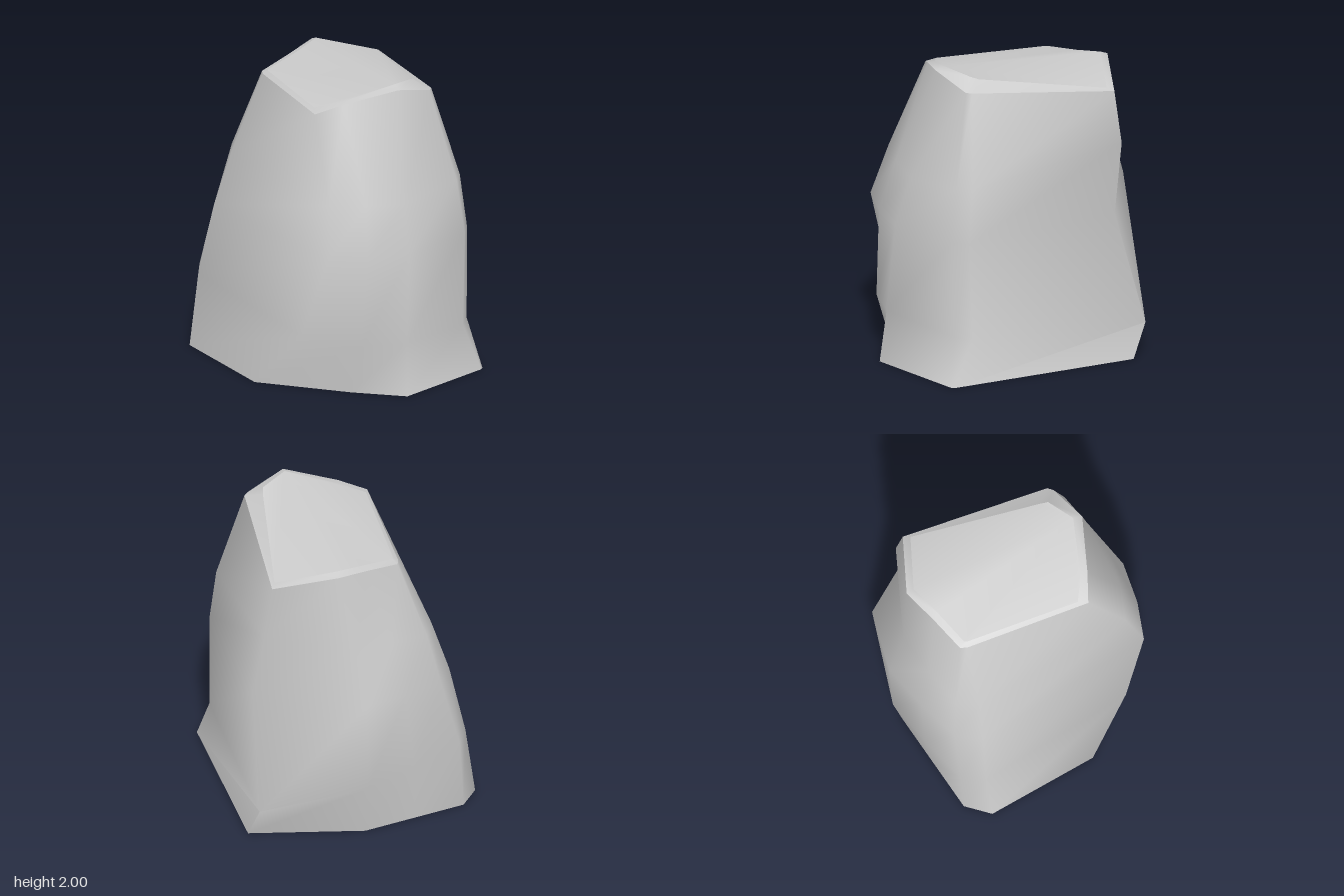
import * as THREE from 'three';
import { toCreasedNormals } from 'three/addons/utils/BufferGeometryUtils.js';

// Vertical edges of the body, each from base to top, ordered round the block.
const columns = [
  [[0, 0, .88], [.02, .35, .84], [.06, .94, .8], [.08, 1.25, .7], [.13, 1.98, .54]],                 // front
  [[.64, 0, .72], [.55, .3, .64], [.55, .95, .66], [.52, 1.3, .61], [.4, 1.9, .47]],                 // front, +x
  [[.66, 0, .7], [.63, .3, .55], [.62, .95, .57], [.59, 1.3, .53], [.43, 1.9, .44]],                 // side, +x
  [[.77, 0, -.56], [.73, .22, -.67], [.7, 1, -.46], [.65, 1.45, -.54], [.59, 1.79, -.52]],           // back, +x
  [[.05, 0, -.79], [.06, .36, -.86], [.07, 1, -.88], [.11, 1.36, -.76], [.2, 1.89, -.69]],           // back
  [[-.3, 0, -.75], [-.28, .42, -.8], [-.22, .97, -.8], [-.16, 1.33, -.71], [-.03, 1.85, -.61]],      // back, middle
  [[-.65, 0, -.71], [-.62, .48, -.72], [-.5, .95, -.7], [-.42, 1.3, -.65], [-.26, 1.81, -.54]],      // back, -x
  [[-.78, 0, -.57], [-.71, .48, -.58], [-.61, .95, -.55], [-.5, 1.3, -.52], [-.28, 1.81, -.5]],      // side, -x
  [[-.73, 0, .18], [-.57, .4, .5], [-.47, .97, .68], [-.41, 1.3, .58], [-.37, 1.84, .33]],           // front, -x
  [[-.28, 0, .64], [-.27, .35, .75], [-.22, .95, .76], [-.18, 1.28, .66], [-.2, 1.9, .41]],          // front, middle
];
// Inner outline of the top face, which rises to a low ridge from front to back.
const capRing = [
  [.14, 2, .48], [.32, 1.97, .39], [.34, 1.95, .34], [.56, 1.81, -.48], [.2, 1.91, -.64],
  [0, 1.87, -.57], [-.24, 1.83, -.5], [-.25, 1.83, -.48], [-.34, 1.86, .27], [-.2, 1.9, .36],
];

// Joins rings of points, given from bottom to top, with outward faces.
function loft(rings) {
  const n = rings[0].length, index = [];
  for (let j = 0; j < rings.length - 1; j++) {
    for (let i = 0; i < n; i++) {
      const a = j * n + i, b = j * n + (i + 1) % n;
      index.push(a, b, b + n, a, b + n, a + n);
    }
  }
  return build(rings.flat(), index);
}

// Fills one ring with a fan from its front corner.
function fan(ring) {
  const index = [];
  for (let i = 1; i < ring.length - 1; i++) index.push(0, i, i + 1);
  return build(ring, index);
}

function build(points, index) {
  const geometry = new THREE.BufferGeometry();
  geometry.setAttribute('position', new THREE.Float32BufferAttribute(points.flat(), 3));
  geometry.setIndex(index);
  return toCreasedNormals(geometry, 1.4);
}

export function createModel() {
  const group = new THREE.Group();
  const material = new THREE.MeshStandardMaterial({ color: 0xcccccc, side: THREE.DoubleSide });
  const add = (name, geometry) => {
    const mesh = new THREE.Mesh(geometry, material);
    mesh.name = name;
    group.add(mesh);
  };

  const rings = columns[0].map((_, j) => columns.map(c => c[j]));
  const top = rings[rings.length - 1];
  // Hollow lining just inside the wall
  const lining = rings.map(r => r.map(([x, y, z]) => [x * .96, y * .98, z * .96]));

  add('outerWall', loft(rings));
  add('topBevel', loft([top, capRing]));
  add('topFace', fan(capRing));
  add('innerWall', loft(lining));
  add('innerCeiling', fan(lining[lining.length - 1]));
  add('bottomRim', loft([lining[0], rings[0]]));
  return group;
}
